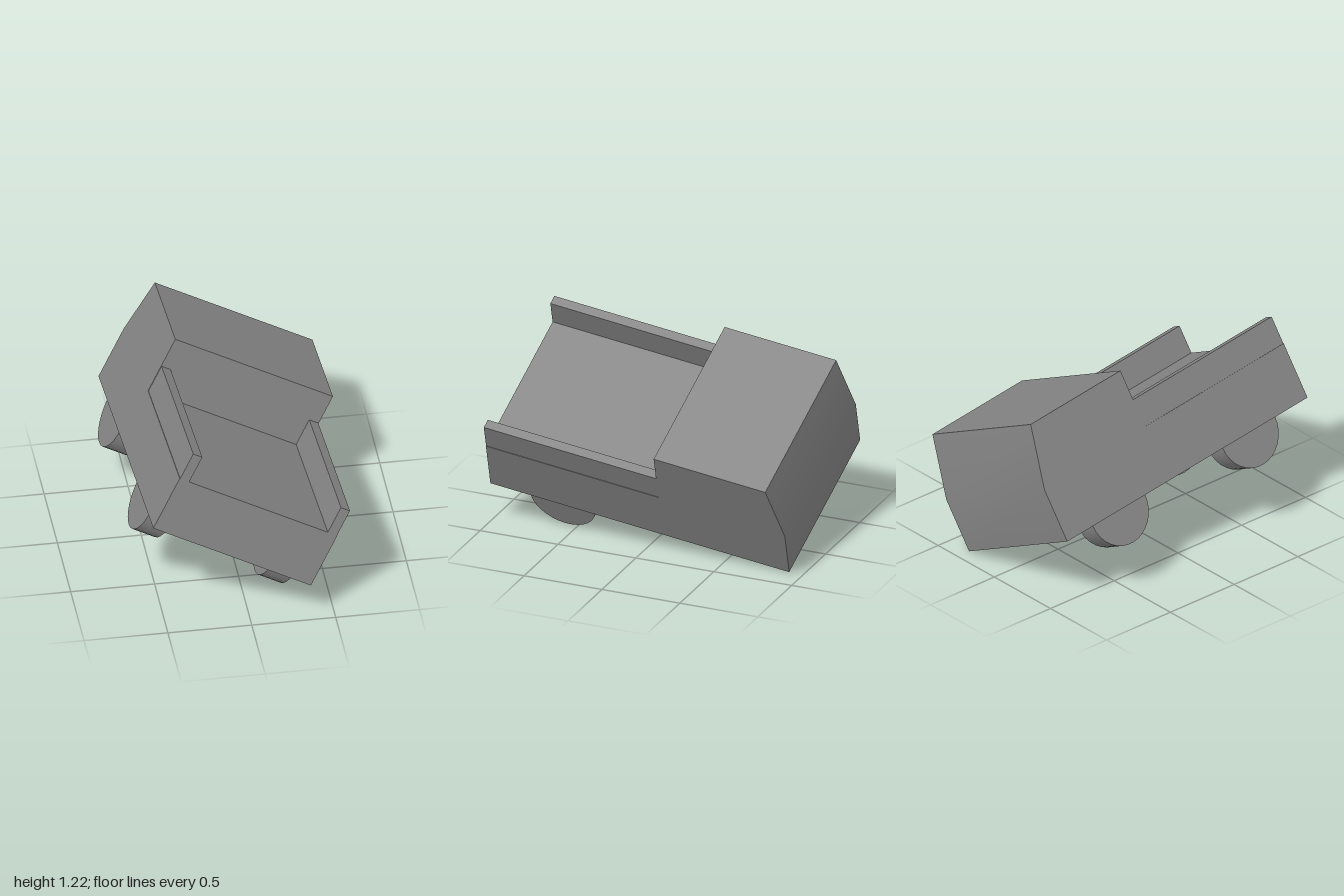
import * as THREE from 'three';
import { toCreasedNormals } from 'three/addons/utils/BufferGeometryUtils.js';

const WIDTH = 1.05, BED_LENGTH = 1.11, FLOOR = 0.355, WALL_TOP = 0.531, WALL = 0.06;

export function createModel() {
  const model = new THREE.Group();
  const truck = new THREE.Group();
  truck.name = 'truck';
  model.add(truck);
  const material = new THREE.MeshStandardMaterial({ color: 0x868686 });

  const add = (name, geometry, x = 0, y = 0, z = 0) => {
    const mesh = new THREE.Mesh(geometry, material);
    mesh.name = name;
    mesh.position.set(x, y, z);
    truck.add(mesh);
  };

  // Side profile of bed floor and cab (distance back from the open bed end, height)
  const profile = new THREE.Shape([
    [0, 0], [1.923, 0], [1.923, 0.34], [1.828, 0.722],
    [BED_LENGTH, 0.722], [BED_LENGTH, FLOOR], [0, FLOOR],
  ].map(([s, y]) => new THREE.Vector2(s, y)));
  const body = new THREE.ExtrudeGeometry(profile, { depth: WIDTH, bevelEnabled: false });
  body.rotateY(Math.PI / 2);
  // The gentle bend across the cab's end is shaded smooth
  add('bedAndCab', toCreasedNormals(body, 0.5), -WIDTH / 2);

  // Side walls of the open bed, set in by a hair
  const wallHeight = WALL_TOP - FLOOR;
  for (const side of [-1, 1]) {
    add(side < 0 ? 'rightBedWall' : 'leftBedWall',
      new THREE.BoxGeometry(WALL, wallHeight, BED_LENGTH),
      side * ((WIDTH - WALL) / 2 - 0.003), FLOOR + wallHeight / 2, -BED_LENGTH / 2);
  }

  // Three wheels, half sunk into the body; the fourth is missing
  const wheel = new THREE.CylinderGeometry(0.21, 0.21, 0.152, 32);
  wheel.rotateZ(Math.PI / 2);
  const wheelX = WIDTH / 2 - 0.03 - 0.076;
  add('rightBedWheel', wheel, -wheelX, -0.007, -0.45);
  add('leftBedWheel', wheel, wheelX, -0.007, -0.45);
  add('rightCabWheel', wheel, -wheelX, -0.007, -1.49);

  // The truck leans over onto its unsupported corner
  const back = new THREE.Vector3(0.013, 0.128, 0.992).normalize();
  const up = back.clone().cross(new THREE.Vector3(0.887, -0.46, 0.048)).normalize();
  const across = up.clone().cross(back);
  truck.quaternion.setFromRotationMatrix(new THREE.Matrix4().makeBasis(across, up, back));
  truck.position.set(-0.113, 0.486, 0.973);
  return model;
}
